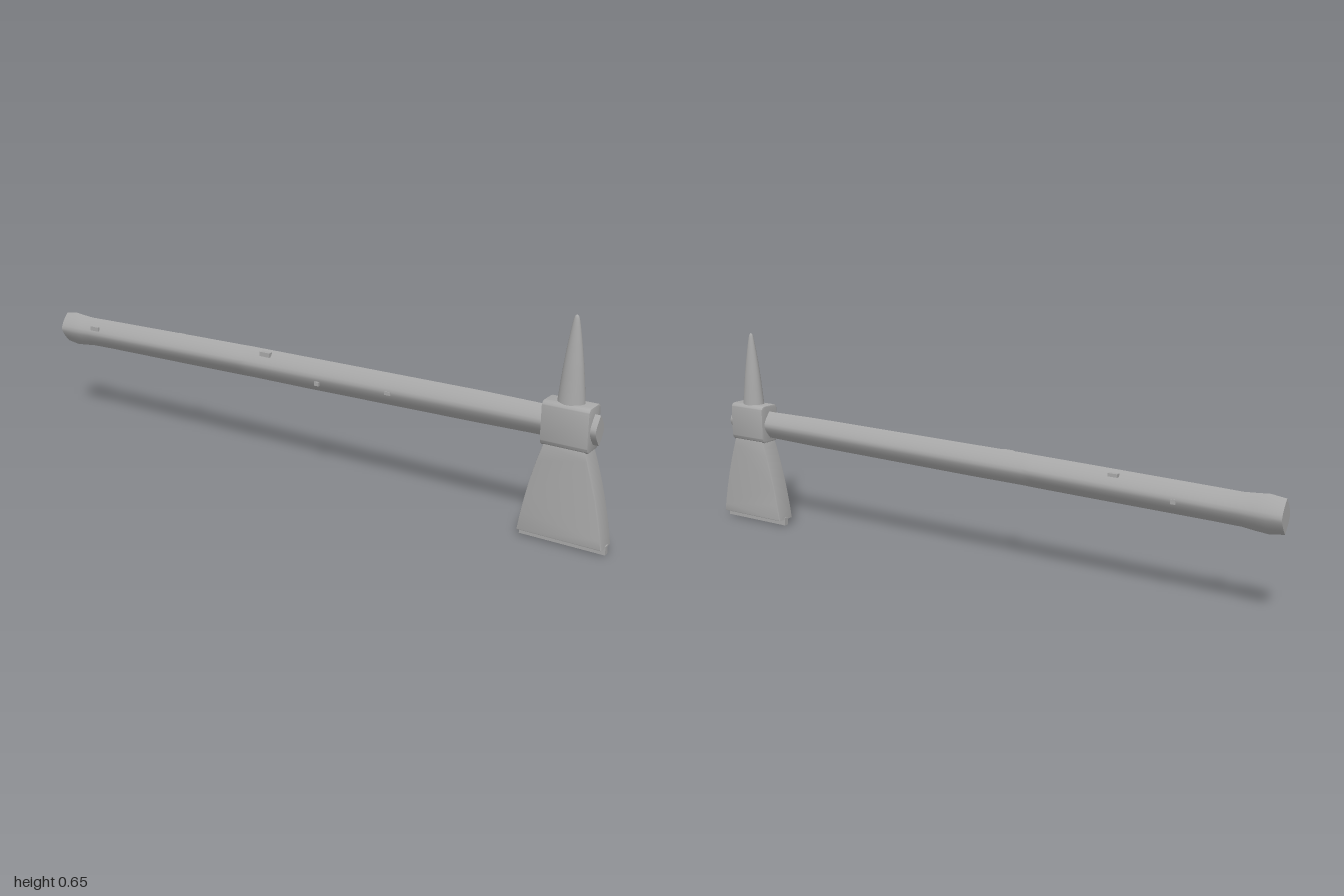
import * as THREE from 'three';
import { toCreasedNormals } from 'three/addons/utils/BufferGeometryUtils.js';

const grey = new THREE.MeshStandardMaterial({ color: 0xa8a8a8 });
grey.name = 'plain grey';

function add(group, name, geometry) {
  const mesh = new THREE.Mesh(geometry, grey);
  mesh.name = name;
  group.add(mesh);
  return mesh;
}

// Handle stations from head to butt: z, centre y, half width, half height
const stations = [
  [0.957, 0.346, 0.028, 0.043], [0.8, 0.345, 0.028, 0.045], [0.6, 0.343, 0.03, 0.048],
  [0, 0.335, 0.03, 0.05], [-0.2, 0.333, 0.031, 0.05], [-0.23, 0.332, 0.034, 0.05],
  [-0.4, 0.329, 0.033, 0.05], [-0.8, 0.322, 0.03, 0.049], [-0.88, 0.32, 0.029, 0.049],
  [-0.92, 0.319, 0.032, 0.053], [-0.955, 0.319, 0.034, 0.056], [-1, 0.319, 0.031, 0.05],
];

// Pointed-oval loft: each side keeps its own vertices so top and bottom ridges stay sharp
function handleGeometry() {
  const n = 16, pos = [], idx = [];
  const point = ([z, yc, hw, hh], side, v) =>
    pos.push(side * hw * (1 - Math.abs(v) ** 1.5), yc + hh * v, z);
  for (const side of [1, -1]) {
    const base = pos.length / 3;
    for (const s of stations) for (let i = 0; i <= n; i++) point(s, side, Math.sin((i / n - 0.5) * Math.PI));
    for (let j = 0; j < stations.length - 1; j++) for (let i = 0; i < n; i++) {
      const a = base + j * (n + 1) + i, b = a + n + 1;
      if (side > 0) idx.push(a, b, a + 1, b, b + 1, a + 1);
      else idx.push(a, a + 1, b, b, a + 1, b + 1);
    }
  }
  // end caps
  for (const [s, front] of [[stations[0], true], [stations[stations.length - 1], false]]) {
    const base = pos.length / 3;
    for (let i = 0; i <= n; i++) {
      const v = Math.sin((i / n - 0.5) * Math.PI);
      point(s, -1, v);
      point(s, 1, v);
    }
    for (let i = 0; i < n; i++) {
      const a = base + i * 2;
      if (front) idx.push(a, a + 1, a + 3, a, a + 3, a + 2);
      else idx.push(a, a + 3, a + 1, a, a + 2, a + 3);
    }
  }
  const g = new THREE.BufferGeometry();
  g.setAttribute('position', new THREE.Float32BufferAttribute(pos, 3));
  g.setIndex(idx);
  g.computeVertexNormals();
  return g;
}

// Extrusion with small bevels kept inside the outline
function extrude(shape, depth, bevel) {
  const g = new THREE.ExtrudeGeometry(shape, {
    depth: depth - 2 * bevel, bevelThickness: bevel, bevelSize: bevel, bevelOffset: -bevel,
    bevelSegments: 2, curveSegments: 10,
  });
  g.translate(0, 0, -(depth - 2 * bevel) / 2);
  return toCreasedNormals(g, 0.5);
}

export function createModel() {
  const model = new THREE.Group();
  model.name = 'pickAdze';

  add(model, 'handle', handleGeometry());

  // Socket block around the handle
  const w = 0.038, y0 = 0.285, y1 = 0.411, r = 0.018;
  const block = new THREE.Shape();
  block.moveTo(-w + 0.01, y0);
  block.lineTo(w - 0.01, y0);
  block.quadraticCurveTo(w - 0.001, y0 + 0.007, w, y0 + r);
  block.lineTo(w, y1 - r);
  block.quadraticCurveTo(w, y1, w - r, y1);
  block.lineTo(-w + r, y1);
  block.quadraticCurveTo(-w, y1, -w, y1 - r);
  block.lineTo(-w, y0 + r);
  block.quadraticCurveTo(-w + 0.001, y0 + 0.007, -w + 0.01, y0);
  add(model, 'socketBlock', extrude(block, 0.137, 0.003)).position.z = 0.872;

  // Flared blade, drawn in side profile (shape x becomes z)
  const blade = new THREE.Shape();
  blade.moveTo(0.747, 0.02);
  blade.lineTo(0.998, 0.02);
  blade.quadraticCurveTo(0.978, 0.16, 0.932, 0.29);
  blade.lineTo(0.813, 0.29);
  blade.quadraticCurveTo(0.767, 0.16, 0.747, 0.02);
  add(model, 'blade', extrude(blade, 0.064, 0.003)).rotation.y = -Math.PI / 2;

  // Narrow cutting edge under the blade
  add(model, 'cuttingEdge', new THREE.BoxGeometry(0.016, 0.026, 0.255)).position.set(0, 0.013, 0.8725);

  // Oval spike on top
  const profile = new THREE.SplineCurve([
    [0.031, 0.405], [0.0275, 0.45], [0.0225, 0.51], [0.016, 0.57],
    [0.0095, 0.62], [0.005, 0.644], [0, 0.65],
  ].map(([x, y]) => new THREE.Vector2(x, y))).getPoints(24);
  profile[profile.length - 1].x = 0;
  const spike = add(model, 'spike', new THREE.LatheGeometry(profile, 32));
  spike.scale.z = 1.25;
  spike.position.z = 0.872;

  // Small raised chips along the handle: x, y, z, width, height, length
  const chips = [
    [0.018, 0.364, -0.5, 0.014, 0.01, 0.03], [-0.015, 0.372, -0.13, 0.016, 0.014, 0.036],
    [-0.027, 0.341, -0.845, 0.008, 0.014, 0.034], [0.029, 0.318, -0.69, 0.008, 0.014, 0.016],
    [-0.028, 0.317, 0.07, 0.008, 0.012, 0.016], [-0.029, 0.335, 0.32, 0.008, 0.01, 0.02],
  ];
  for (const [x, y, z, a, b, c] of chips)
    add(model, 'handleChip', new THREE.BoxGeometry(a, b, c)).position.set(x, y, z);

  return model;
}
